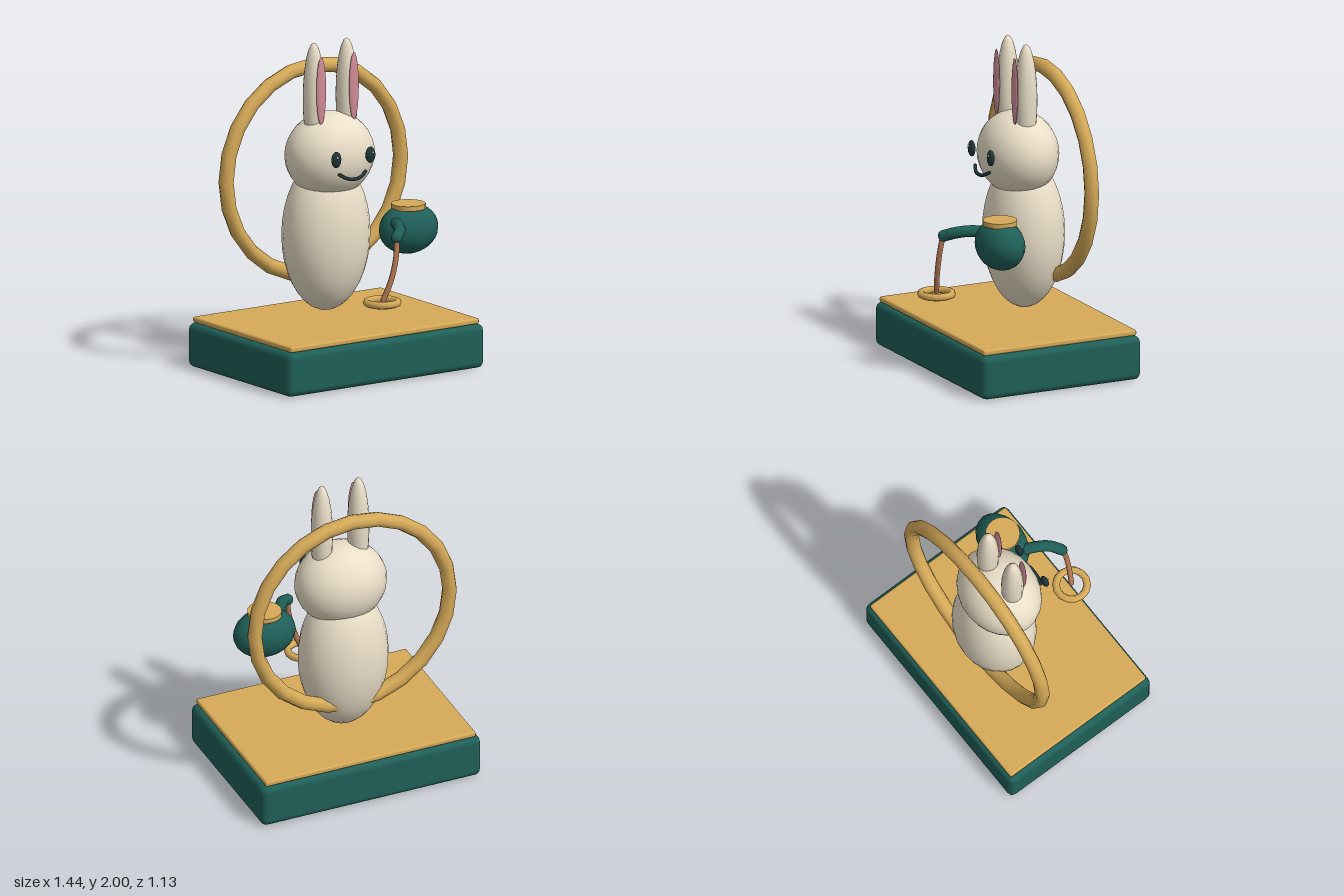
import * as THREE from 'three';
import { RoundedBoxGeometry } from 'three/addons/geometries/RoundedBoxGeometry.js';

const paint = (color) => new THREE.MeshStandardMaterial({ color });

export function createModel() {
  const model = new THREE.Group();
  const green = paint(0x1f5f58), gold = paint(0xd6aa58), cream = paint(0xeadfc8);
  const pink = paint(0xd18c98), copper = paint(0xb87a55), dark = paint(0x1f3638);
  const white = paint(0xf4f4f0);

  const add = (name, geometry, material, x = 0, y = 0, z = 0) => {
    const mesh = new THREE.Mesh(geometry, material);
    mesh.name = name;
    mesh.position.set(x, y, z);
    model.add(mesh);
    return mesh;
  };
  const ellipsoid = (name, material, center, radii, w = 24, h = 18) =>
    add(name, new THREE.SphereGeometry(1, w, h), material, ...center).scale.set(...radii);

  // Tube through points with closed, domed ends
  const tube = (name, material, points, radius, segments = 12) => {
    const path = points.map((p) => new THREE.Vector3(...p));
    const curve = new THREE.CatmullRomCurve3(path);
    add(name, new THREE.TubeGeometry(curve, segments, radius, 8), material);
    for (const p of [points[0], points.at(-1)]) {
      ellipsoid(name + 'End', material, p, [radius * 0.97, radius * 0.97, radius * 0.97], 8, 6);
    }
  };

  // Plinth and its top plate
  add('base', new RoundedBoxGeometry(1.44, 0.27, 1.07, 2, 0.04), green, 0, 0.135, -0.035);
  add('basePlate', new RoundedBoxGeometry(1.38, 0.035, 1.03, 2, 0.012), gold, 0, 0.288, -0.035);

  // Large hoop behind the rabbit
  add('hoop', new THREE.TorusGeometry(0.64, 0.046, 8, 24), gold, 0, 1.175, -0.271);

  // Rabbit
  ellipsoid('body', cream, [0, 0.805, -0.14], [0.28, 0.47, 0.24]);
  ellipsoid('head', cream, [0, 1.3, -0.102], [0.287, 0.26, 0.237]);
  for (const side of [-1, 1]) {
    ellipsoid('ear', cream, [side * 0.12, 1.65, -0.095], [0.066, 0.35, 0.069], 16, 12);
    ellipsoid('innerEar', pink, [side * 0.12, 1.715, -0.019], [0.036, 0.21, 0.013], 12, 10);
    ellipsoid('eye', dark, [side * 0.125, 1.323, 0.146], [0.034, 0.05, 0.02], 14, 10);
    ellipsoid('eyeGlint', white, [side * 0.13, 1.34, 0.166], [0.007, 0.007, 0.006], 8, 6);
  }
  tube('mouth', dark, [[-0.095, 1.225, 0.138], [-0.05, 1.2, 0.156], [0, 1.193, 0.162],
    [0.05, 1.2, 0.156], [0.095, 1.225, 0.138]], 0.011);

  // Watering can with spout
  ellipsoid('canBody', green, [0.363, 0.852, 0.205], [0.197, 0.154, 0.138], 20, 14);
  add('canLid', new THREE.CylinderGeometry(0.104, 0.104, 0.03, 20), gold, 0.362, 0.991, 0.205);
  tube('spout', green, [[0.24, 0.905, 0.24], [0.205, 0.912, 0.32], [0.16, 0.9, 0.4],
    [0.1, 0.872, 0.452]], 0.036, 8);

  // Curved stem and small ring hanging from the spout
  tube('stem', copper, [[0.1, 0.875, 0.455], [0.085, 0.76, 0.47], [0.05, 0.62, 0.468],
    [0.005, 0.5, 0.45]], 0.017, 10);
  const ring = new THREE.TorusGeometry(0.094, 0.023, 8, 14).rotateX(Math.PI / 2);
  add('smallRing', ring, gold, 0, 0.488, 0.447);

  return model;
}
